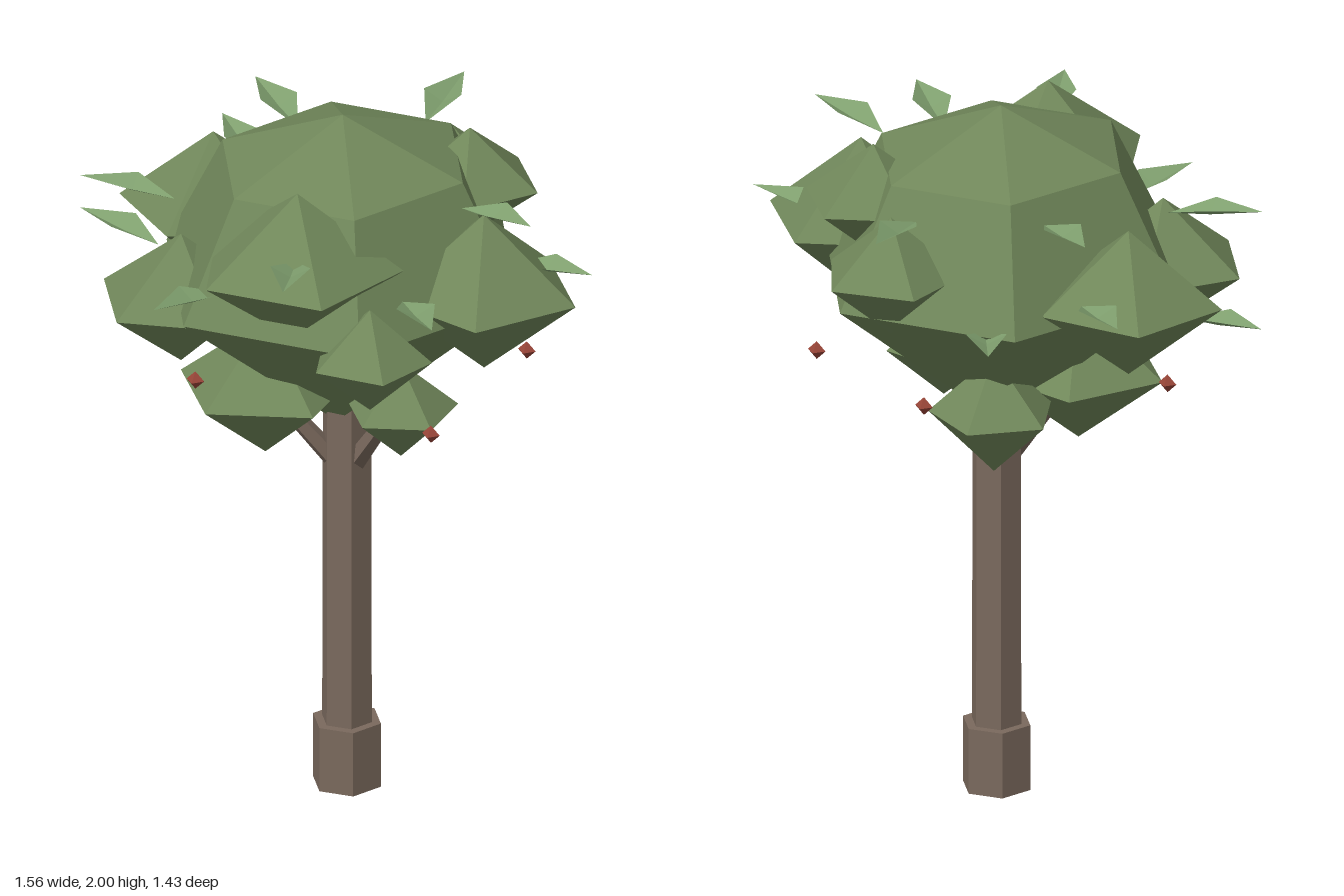
import * as THREE from 'three';

const mat = (color, side = THREE.FrontSide) =>
  new THREE.MeshStandardMaterial({ color, flatShading: true, roughness: 0.9, side });

export function createModel() {
  const tree = new THREE.Group();
  tree.name = 'tree';
  const bark = mat(0x7a695d), foliage = mat(0x70875a);
  const leafGreen = mat(0x7f9f6e, THREE.DoubleSide), red = mat(0x984538);
  const cx = 0.06, cz = -0.02; // trunk axis

  const add = (name, geometry, material, x, y, z, parent = tree) => {
    const mesh = new THREE.Mesh(geometry, material);
    mesh.name = name;
    mesh.position.set(x, y, z);
    parent.add(mesh);
    return mesh;
  };
  const section = (name) => {
    const g = new THREE.Group();
    g.name = name;
    tree.add(g);
    return g;
  };

  // Hexagonal trunk with a thicker foot
  const turn = Math.PI / 6 + 0.05;
  add('trunkBase', new THREE.CylinderGeometry(0.098, 0.098, 0.19, 6), bark, cx, 0.095, cz).rotation.y = turn;
  add('trunk', new THREE.CylinderGeometry(0.07, 0.072, 1.0, 6), bark, cx, 0.65, cz).rotation.y = turn;

  // Main crown: six-sided dome over a downward cone
  const profile = [[0, 1.07], [0.52, 1.53], [0.355, 1.86], [0, 2]].map((p) => new THREE.Vector2(...p));
  const crown = new THREE.LatheGeometry(profile, 6, Math.PI / 2).scale(1, 1, 1.1);
  add('crown', crown, foliage, 0.045, 0, -0.025);

  // Five-sided double pyramids: x, y, z, radius, half height, angle of one corner (from +x towards +z)
  const clumps = section('foliageClumps');
  [
    [0.07, 1.71, 0.35, 0.29, 0.22, 54],
    [0.49, 1.58, 0.04, 0.27, 0.23, 0],
    [-0.42, 1.57, -0.22, 0.26, 0.21, 168],
    [-0.32, 1.5, 0.24, 0.24, 0.19, 186],
    [0.31, 1.5, 0.41, 0.17, 0.15, 55],
    [0.33, 1.76, -0.24, 0.2, 0.16, 0],
    [0.18, 1.64, -0.46, 0.2, 0.17, 300],
    [-0.13, 1.21, 0.1, 0.25, 0.2, 180],
    [0.27, 1.21, 0.1, 0.16, 0.14, 36],
    [-0.02, 1.18, -0.22, 0.18, 0.17, 270],
  ].forEach(([x, y, z, r, h, deg]) => {
    const geo = new THREE.SphereGeometry(1, 5, 2).scale(r, h, r);
    // the sphere seam lies on -x
    add('clump', geo, foliage, x, y, z, clumps).rotation.y = Math.PI - THREE.MathUtils.degToRad(deg);
  });

  // Branches reaching from the trunk into the low clumps
  const branches = section('branches');
  const up = new THREE.Vector3(0, 1, 0);
  [[-0.13, 1.21, 0.1], [0.25, 1.21, 0.08], [-0.02, 1.2, -0.22]].forEach((p) => {
    const a = new THREE.Vector3(cx, 0.93, cz), b = new THREE.Vector3(...p);
    const mid = a.clone().lerp(b, 0.5), dir = b.clone().sub(a);
    const geo = new THREE.CylinderGeometry(0.02, 0.032, dir.length(), 5);
    add('branch', geo, bark, mid.x, mid.y, mid.z, branches)
      .quaternion.setFromUnitVectors(up, dir.normalize());
  });

  // Kite-shaped leaf, folded along its midrib, tip at the origin, stem along -z
  const leafGeo = new THREE.BufferGeometry();
  leafGeo.setAttribute('position', new THREE.Float32BufferAttribute([
    0, 0, 0, 0.055, 0.005, -0.15, 0, -0.025, -0.15, -0.055, 0.005, -0.15, 0, -0.035, -0.27,
  ], 3));
  leafGeo.setIndex([0, 1, 2, 0, 2, 3, 1, 4, 2, 2, 4, 3]);
  leafGeo.computeVertexNormals();

  // Leaves: tip x, y, z, then a point on the stem x, z
  const leaves = section('leaves');
  [
    [-0.55, 1.65, -0.59, -0.38, -0.42],
    [-0.21, 1.55, -0.69, -0.11, -0.48],
    [0.11, 1.84, -0.72, 0.11, -0.43],
    [-0.78, 1.52, -0.14, -0.55, -0.08],
    [-0.67, 1.75, 0.12, -0.4, 0.09],
    [-0.24, 1.64, 0.62, -0.16, 0.43],
    [0.18, 1.81, 0.71, 0.12, 0.49],
    [0.59, 1.74, 0.64, 0.43, 0.45],
    [0.68, 1.86, 0.16, 0.44, 0.06],
    [0.78, 1.65, -0.03, 0.6, -0.06],
    [-0.41, 1.83, -0.49, -0.22, -0.32],
  ].forEach(([x, y, z, sx, sz]) => {
    add('leaf', leafGeo, leafGreen, x, y, z, leaves).rotation.y = Math.atan2(x - sx, z - sz);
  });

  // Small berries in a ring below the crown
  const berries = section('berries');
  const berryGeo = new THREE.OctahedronGeometry(0.026);
  [
    [-0.21, 1.34, 0.4], [0.49, 1.31, 0.41], [0.5, 1.285, -0.235],
    [0.06, 1.295, -0.51], [-0.47, 1.285, -0.07],
  ].forEach((p) => add('berry', berryGeo, red, ...p, berries));

  return tree;
}
